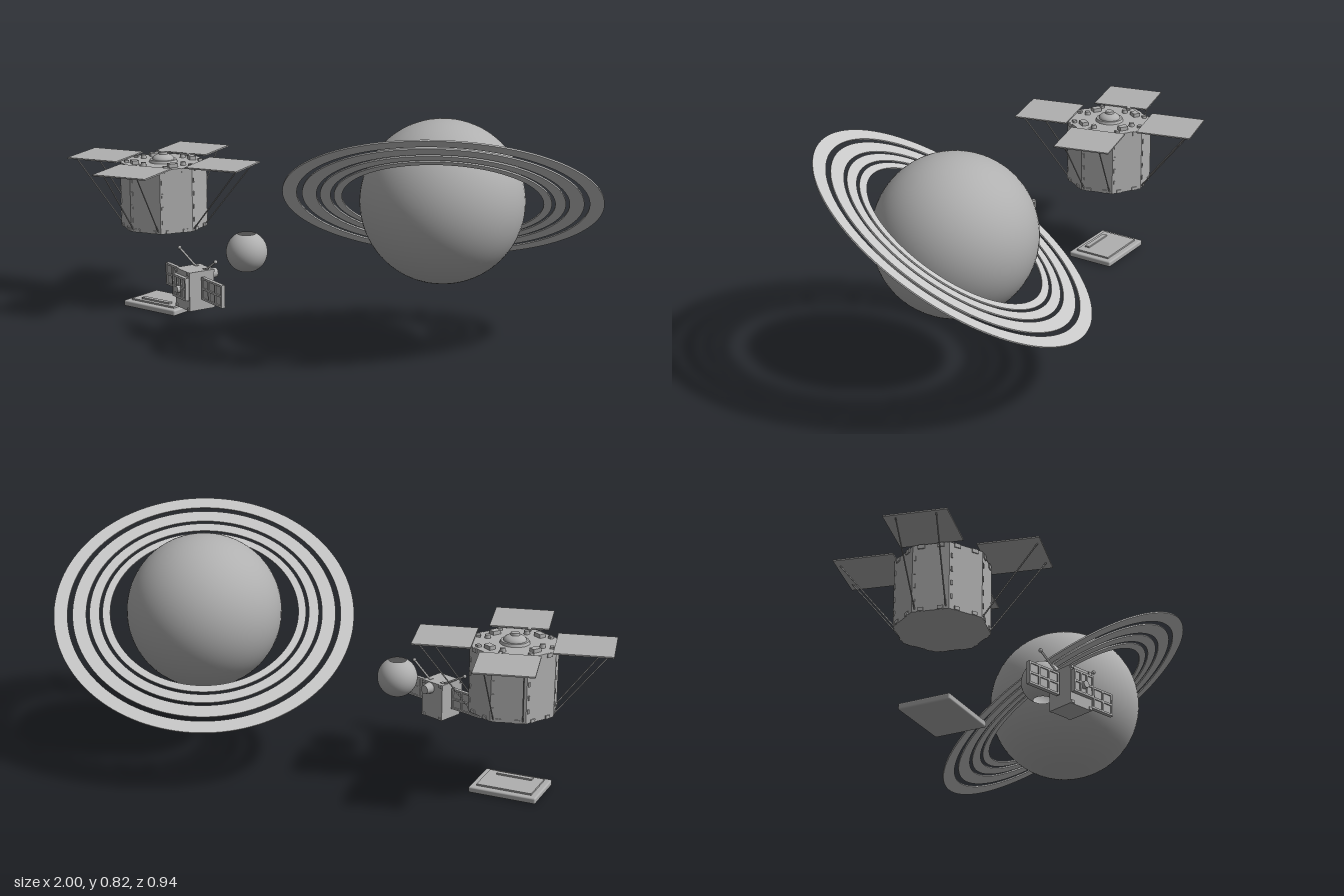
import * as THREE from 'three';
import { RoundedBoxGeometry } from 'three/addons/geometries/RoundedBoxGeometry.js';

const grey = new THREE.MeshStandardMaterial({ color: 0xb0b0b0 });
grey.name = 'grey';
const greyOpen = new THREE.MeshStandardMaterial({ color: 0xb0b0b0, side: THREE.DoubleSide });
greyOpen.name = 'grey shell';
const pale = new THREE.MeshStandardMaterial({ color: 0xc8c8c8 });
pale.name = 'pale grey';

function add(parent, name, geo, x = 0, y = 0, z = 0, mat = grey) {
  const m = new THREE.Mesh(geo, mat);
  m.name = name;
  m.position.set(x, y, z);
  parent.add(m);
  return m;
}
const box = (w, h, d) => new THREE.BoxGeometry(w, h, d);
const cyl = (r1, r2, h, n = 16) => new THREE.CylinderGeometry(r1, r2, h, n);

// Thin round bar between two points
function rod(parent, name, a, b, r) {
  const p = new THREE.Vector3(...a), q = new THREE.Vector3(...b);
  const d = q.clone().sub(p);
  const m = add(parent, name, cyl(r, r, d.length(), 6));
  m.position.copy(p).add(q).multiplyScalar(0.5);
  m.quaternion.setFromUnitVectors(new THREE.Vector3(0, 1, 0), d.normalize());
}

function group(parent, name, x, y, z, turn = 0) {
  const g = new THREE.Group();
  g.name = name;
  g.position.set(x, y, z);
  g.rotation.y = turn;
  parent.add(g);
  return g;
}

function ringedPlanet(root) {
  const g = group(root, 'ringedPlanet', 0.485, 0.525, 0);
  add(g, 'planet', new THREE.SphereGeometry(0.276, 64, 48));
  // Four flat concentric rings, tilted together
  const rings = group(g, 'rings', 0, 0, 0);
  rings.quaternion.setFromUnitVectors(new THREE.Vector3(0, 0, 1), new THREE.Vector3(-0.264, 0.84, -0.474).normalize());
  const depth = 0.005;
  for (const [inner, outer] of [[0.335, 0.362], [0.373, 0.408], [0.42, 0.468], [0.486, 0.534]]) {
    const s = new THREE.Shape().absarc(0, 0, outer, 0, Math.PI * 2);
    s.holes.push(new THREE.Path().absarc(0, 0, inner, 0, Math.PI * 2, true));
    add(rings, 'ring', new THREE.ExtrudeGeometry(s, { depth, bevelEnabled: false, curveSegments: 64 }), 0, 0, -depth / 2, pale);
  }
}

function octagonalCraft(root) {
  const g = group(root, 'octagonalCraft', -0.65, 0, 0.1, 0.235);
  // Eight-sided body with flats facing the panels
  const body = cyl(0.157, 0.157, 0.235, 8).toNonIndexed();
  body.rotateY(Math.PI / 8);
  body.computeVertexNormals();
  add(g, 'body', body, 0, 0.424, 0);

  // Domed antenna on top
  add(g, 'antennaBase', cyl(0.048, 0.052, 0.01, 24), 0, 0.546, 0);
  const dome = add(g, 'antennaDome', new THREE.SphereGeometry(0.04, 24, 10, 0, Math.PI * 2, 0, Math.PI / 2), 0, 0.55, 0);
  dome.scale.y = 0.55;
  add(g, 'antennaCap', cyl(0.015, 0.018, 0.012), 0, 0.572, 0);

  // Seams and studs along the eight corners, small fittings on the deck
  for (let i = 0; i < 8; i++) {
    const side = group(g, 'bodySide', 0, 0, 0, i * Math.PI / 4);
    for (const s of [-1, 1]) {
      add(side, 'topBracket', box(0.008, 0.014, 0.022), 0.145, 0.534, s * 0.032);
      add(side, 'bottomBracket', box(0.008, 0.012, 0.018), 0.145, 0.313, s * 0.032);
    }
    for (let k = 0; k < 4; k++) add(side, 'seamStud', box(0.005, 0.016, 0.006), 0.146, 0.35 + k * 0.048, 0.052);
    if (i % 2) add(side, 'deckBox', box(0.024, 0.014, 0.032), 0.108, 0.548, 0);
    else add(side, 'deckKnob', cyl(0.009, 0.011, 0.014, 10), 0.096, 0.547, 0.03);
    add(side, 'deckClip', box(0.014, 0.01, 0.014), 0.128, 0.545, 0.035);
  }

  // Four deployed square panels, each braced by a pair of struts
  for (let i = 0; i < 4; i++) {
    const wing = group(g, 'wing', 0, 0, 0, i * Math.PI / 2);
    add(wing, 'solarPanel', box(0.202, 0.005, 0.206), 0.238, 0.547, 0);
    for (const s of [-1, 1]) rod(wing, 'strut', [0.325, 0.545, s * 0.065], [0.145, 0.315, s * 0.05], 0.0025);
  }
}

function boxProbe(root) {
  const g = group(root, 'boxProbe', -0.28, 0.188, 0.374, -0.35);
  add(g, 'body', box(0.096, 0.136, 0.096));
  for (const y of [-0.062, 0.062]) for (const x of [-0.04, 0.04])
    add(g, 'cornerFitting', box(0.012, 0.01, 0.104), x, y, 0);

  // Framed cell panels: two wings and one on the front of the body
  const panel = (x, z, w, name) => {
    const p = group(g, name, x, 0.01, z);
    add(p, 'panelBack', box(w, 0.074, 0.006));
    for (const y of [-0.036, 0, 0.036]) add(p, 'frameRail', box(w, 0.007, 0.014), 0, y, 0);
    for (let i = 0; i < 4; i++) add(p, 'frameBar', box(0.007, 0.078, 0.014), (i / 3 - 0.5) * (w - 0.007), 0, 0);
  };
  panel(-0.124, 0, 0.134, 'rightPanel');
  panel(0.124, 0, 0.134, 'leftPanel');
  panel(0, 0.056, 0.09, 'frontPanel');
  const knob = add(g, 'frontKnob', cyl(0.012, 0.012, 0.02), 0, 0.004, 0.064);
  knob.rotation.x = Math.PI / 2;

  // Rear horn and two angled whip antennas
  const horn = add(g, 'rearHorn', cyl(0.016, 0.022, 0.036, 20), 0.012, 0.045, -0.06);
  horn.rotation.x = -Math.PI / 2;
  for (const s of [-1, 1]) {
    const tip = [s * 0.122, 0.114, -0.012], foot = [s * 0.03, 0.064, -0.025];
    rod(g, 'whipAntenna', foot, tip, 0.004);
    add(g, 'antennaTip', new THREE.SphereGeometry(0.007, 10, 8), ...tip);
    add(g, 'antennaFoot', box(0.014, 0.012, 0.014), ...foot);
  }
}

export function createModel() {
  const root = new THREE.Group();
  root.name = 'spaceScene';
  ringedPlanet(root);

  // Small moon with open poles
  add(root, 'moon', new THREE.SphereGeometry(0.072, 40, 28, 0, Math.PI * 2, 0.45, Math.PI - 0.9), -0.171, 0.3, 0.222, greyOpen);

  octagonalCraft(root);
  boxProbe(root);

  // Low base plate with a raised top and a small bar
  const plate = group(root, 'basePlate', -0.65, 0, 0.106);
  add(plate, 'slab', new RoundedBoxGeometry(0.244, 0.022, 0.181, 2, 0.006), 0, 0.011, 0);
  add(plate, 'raisedTop', box(0.2, 0.008, 0.138), 0, 0.024, 0);
  add(plate, 'topBar', box(0.13, 0.008, 0.018), 0, 0.03, 0.045);
  return root;
}
